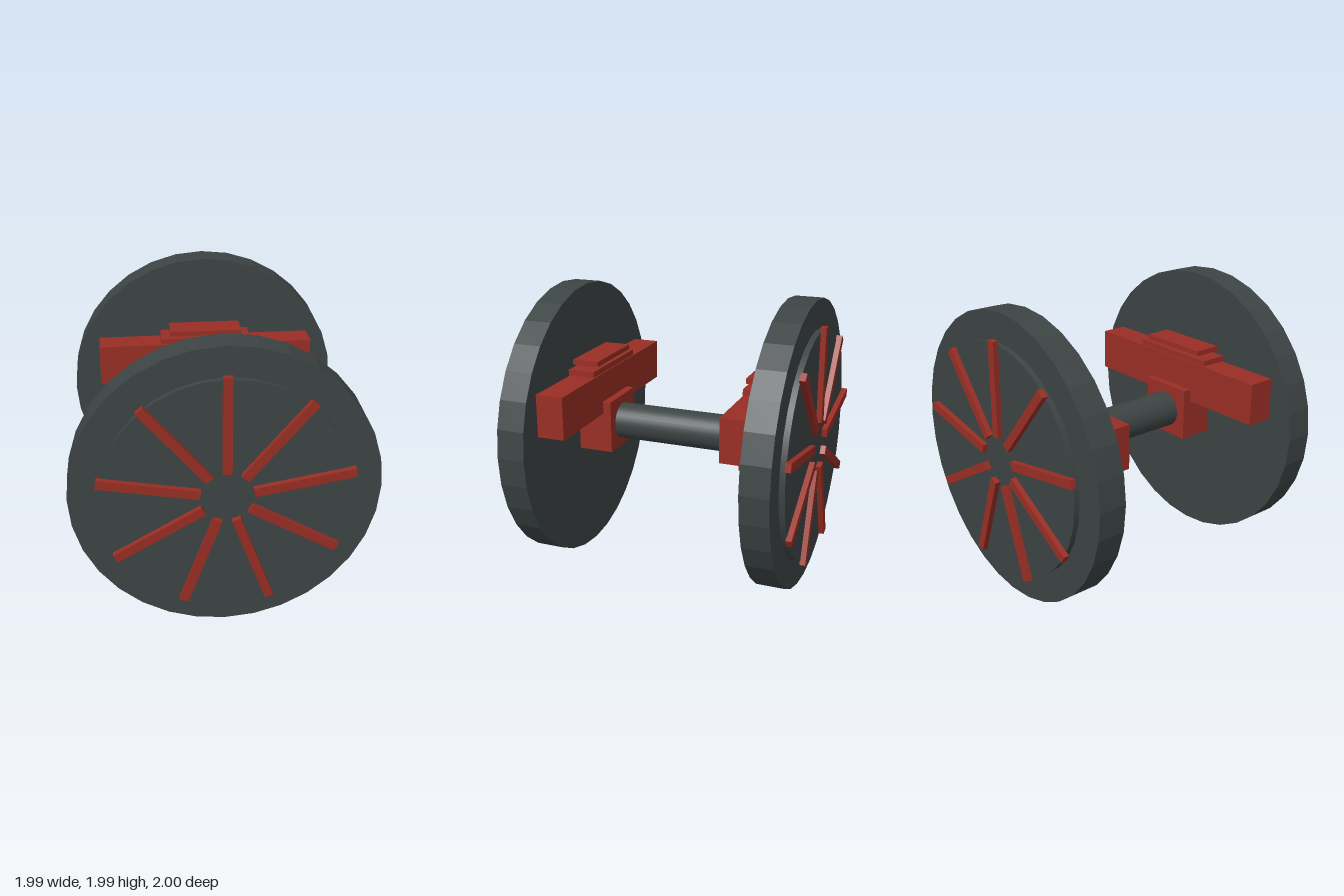
import * as THREE from 'three';

const HUB_Y = 0.993; // height of the axle centre

export function createModel() {
  const model = new THREE.Group();
  model.name = 'wheelset';

  const iron = new THREE.MeshStandardMaterial({ color: 0x3d4444 });
  iron.name = 'dark iron';
  const rimIron = iron.clone();
  rimIron.flatShading = true;
  const red = new THREE.MeshStandardMaterial({ color: 0x992e24 });
  red.name = 'red paint';

  function add(parent, name, geometry, material) {
    const mesh = new THREE.Mesh(geometry, material);
    mesh.name = name;
    parent.add(mesh);
    return mesh;
  }

  // Cylinder along z between z0 and z1
  function disc(parent, name, radius, z0, z1, sides, material) {
    const g = new THREE.CylinderGeometry(radius, radius, z1 - z0, sides);
    g.rotateX(Math.PI / 2).translate(0, HUB_Y, (z0 + z1) / 2);
    return add(parent, name, g, material);
  }

  // Box centred on x, between the given heights and depths
  function block(parent, name, halfWidth, y0, y1, z0, z1) {
    const g = new THREE.BoxGeometry(halfWidth * 2, y1 - y0, z1 - z0);
    g.translate(0, (y0 + y1) / 2, (z0 + z1) / 2);
    return add(parent, name, g, red);
  }

  function side(name) {
    const group = new THREE.Group();
    group.name = name;

    // Wheel with raised face
    disc(group, 'wheel', 0.993, 0.73, 0.924, 32, rimIron);
    disc(group, 'wheelFace', 0.795, 0.924, 0.963, 32, iron);

    // Nine spokes, the first pointing straight up
    for (let i = 0; i < 9; i++) {
      const g = new THREE.BoxGeometry(0.06, 0.65, 0.04);
      g.translate(0, 0.497, 0.98);
      const spoke = add(group, 'spoke', g, red);
      spoke.position.y = HUB_Y;
      spoke.rotation.z = (i * Math.PI * 2) / 9;
    }

    // Axle box, spring beam and the separate leaves above it
    block(group, 'axleBox', 0.2, 0.81, 1.185, 0.48, 0.73);
    block(group, 'springBeam', 0.793, 1.097, 1.392, 0.538, 0.73);
    block(group, 'lowerLeaf', 0.332, 1.398, 1.438, 0.538, 0.73);
    block(group, 'upperLeaf', 0.264, 1.457, 1.493, 0.538, 0.73);
    return group;
  }

  const front = side('frontSide');
  const back = side('backSide');
  back.rotation.y = Math.PI;
  model.add(front, back);

  // Axle joining both sides
  disc(model, 'axle', 0.13, -0.49, 0.49, 32, iron);

  return model;
}
